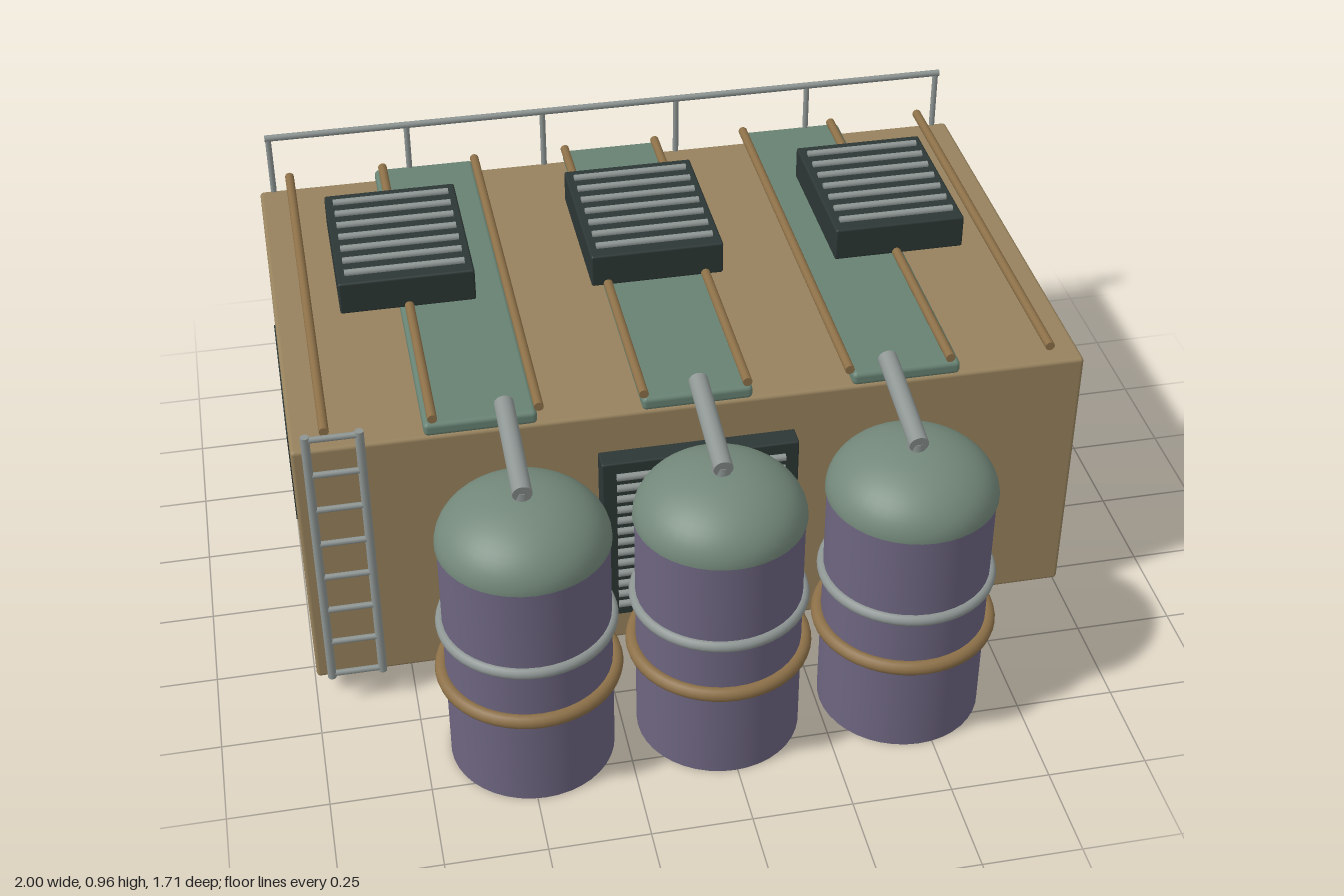
import * as THREE from 'three';
import { RoundedBoxGeometry } from 'three/addons/geometries/RoundedBoxGeometry.js';

const material = (name, color) => {
  const m = new THREE.MeshStandardMaterial({ color });
  m.name = name;
  return m;
};

export function createModel() {
  const root = new THREE.Group();
  root.name = 'tankPlant';
  const sand = material('sand', 0x97825d);
  const copper = material('copper brown', 0x8c7048);
  const purple = material('muted purple', 0x6d6580);
  const domeGreen = material('dome green', 0x73887a);
  const roofGreen = material('roof green', 0x678273);
  const dark = material('dark slate', 0x2c3735);
  const steel = material('steel grey', 0x8d9593);

  const add = (parent, name, geometry, mat, x = 0, y = 0, z = 0) => {
    const mesh = new THREE.Mesh(geometry, mat);
    mesh.name = name;
    mesh.position.set(x, y, z);
    parent.add(mesh);
    return mesh;
  };
  const group = (name, x = 0, y = 0, z = 0) => {
    const g = new THREE.Group();
    g.name = name;
    g.position.set(x, y, z);
    root.add(g);
    return g;
  };
  const block = (w, h, d, r) => new RoundedBoxGeometry(w, h, d, 2, r);
  // Round bar between two points
  const bar = (parent, name, a, b, radius, mat, sides = 12) => {
    const p = new THREE.Vector3(...a), q = new THREE.Vector3(...b);
    const mid = p.clone().add(q).multiplyScalar(0.5);
    const mesh = add(parent, name,
      new THREE.CylinderGeometry(radius, radius, p.distanceTo(q), sides), mat, mid.x, mid.y, mid.z);
    mesh.quaternion.setFromUnitVectors(new THREE.Vector3(0, 1, 0), q.sub(p).normalize());
    return mesh;
  };

  const cx = -0.0065, cz = -0.2475;

  // Main housing
  add(root, 'housing', block(1.977, 0.722, 1.215, 0.01), sand, cx, 0.422, cz);

  // Green roof slabs
  for (const x of [-0.538, cx, 0.52])
    add(root, 'roofSlab', block(0.275, 0.036, 1.215, 0.012), roofGreen, x, 0.8, cz);

  // Pipes running front to back over the roof
  for (let i = 0; i < 8; i++) {
    const x = -0.91 + i * 0.257;
    bar(root, 'roofPipe', [x, 0.829, 0.353], [x, 0.829, -0.842], 0.012, copper);
  }

  // Rooftop cooling units with slats
  for (const x of [-0.655, -0.008, 0.639]) {
    const unit = group('roofUnit', x, 0, -0.361);
    add(unit, 'unitBox', block(0.347, 0.09, 0.437, 0.006), dark, 0, 0.868, 0);
    for (let i = 0; i < 7; i++) {
      const z = (i - 3) * 0.0575;
      bar(unit, 'unitSlat', [-0.153, 0.916, z], [0.153, 0.916, z], 0.0095, steel);
    }
  }

  // Side vents; the slats are on the left side
  for (const x of [-0.993, 0.98])
    add(root, 'sideVent', new THREE.BoxGeometry(0.014, 0.271, 0.513), dark, x, 0.42, -0.27);
  for (let i = 0; i < 8; i++) {
    const y = 0.316 + i * 0.0298;
    bar(root, 'sideVentSlat', [0.99, y, -0.046], [0.99, y, -0.493], 0.0095, steel);
  }

  // Front vent behind the tanks
  add(root, 'frontVent', block(0.495, 0.487, 0.06, 0.005), dark, -0.009, 0.43, 0.383);
  for (let i = 0; i < 13; i++) {
    const y = 0.226 + i * 0.034;
    bar(root, 'frontVentSlat', [-0.22, y, 0.417], [0.203, y, 0.417], 0.0095, steel);
  }

  // Rear roof railing
  bar(root, 'railingTop', [-0.966, 0.952, -0.847], [0.949, 0.952, -0.847], 0.009, steel);
  for (let i = 0; i < 6; i++) {
    const x = -0.957 + i * 0.3792;
    bar(root, 'railingPost', [x, 0.785, -0.847], [x, 0.952, -0.847], 0.008, steel);
  }

  // Front ladder
  const ladder = group('ladder', 0, 0, 0.392);
  for (const x of [-0.957, -0.829])
    bar(ladder, 'ladderStile', [x, 0.087, 0], [x, 0.85, 0], 0.011, steel);
  for (let i = 0; i < 8; i++) {
    const y = 0.098 + i * 0.106;
    bar(ladder, 'ladderRung', [-0.957, y, 0], [-0.829, y, 0], 0.008, steel);
  }

  // Storage tanks with domes, bands and feed pipes
  for (const x of [-0.481, -0.008, 0.465]) {
    const tank = group('tank', x, 0, 0.626);
    add(tank, 'tankBody', new THREE.CylinderGeometry(0.205, 0.205, 0.66, 40), purple, 0, 0.33, 0);
    const dome = add(tank, 'tankDome',
      new THREE.SphereGeometry(0.21, 40, 14, 0, Math.PI * 2, 0, Math.PI / 2), domeGreen, 0, 0.656, 0);
    dome.scale.y = 0.135 / 0.21;
    const underside = add(tank, 'domeRim', new THREE.RingGeometry(0.2, 0.21, 40), domeGreen, 0, 0.656, 0);
    underside.rotation.x = Math.PI / 2;
    for (const [y, r, t, mat] of [[0.417, 0.206, 0.015, steel], [0.267, 0.212, 0.0185, copper]])
      add(tank, 'tankBand', new THREE.TorusGeometry(r, t, 12, 48), mat, 0, y, 0).rotation.x = Math.PI / 2;
    bar(tank, 'feedRiser', [0, 0.76, 0.006], [0, 0.81, 0.006], 0.024, steel, 20);
    bar(tank, 'feedPipe', [0, 0.81, 0.028], [0, 0.861, -0.263], 0.024, steel, 20);
  }

  return root;
}
